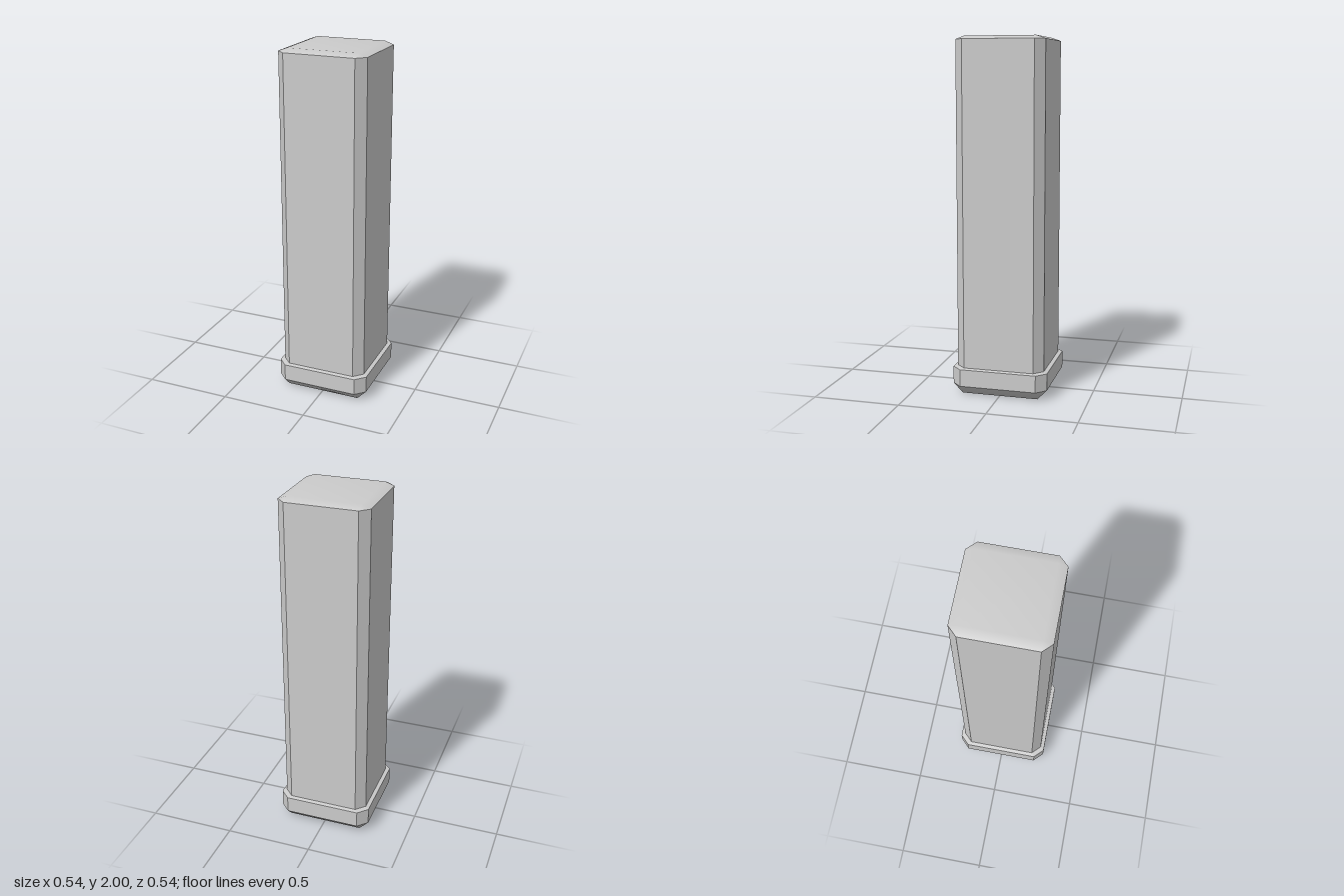
import * as THREE from 'three';
import { mergeVertices } from 'three/addons/utils/BufferGeometryUtils.js';

const material = new THREE.MeshStandardMaterial({ color: 0xcccccc });

// Square section of half-width h whose sides end at c, leaving cut corners (c = h: sharp square).
function ring([h, c, y]) {
  return [[h, c], [c, h], [-c, h], [-h, c], [-h, -c], [-c, -h], [c, -h], [h, -c]]
    .map(([x, z]) => new THREE.Vector3(x, y, z));
}

// Skin consecutive sections from bottom to top, skipping collapsed triangles.
function skin(name, sections, smooth) {
  const points = [];
  const rings = sections.map(ring);
  const tri = (a, b, c) => {
    if (new THREE.Triangle(a, b, c).getArea() > 1e-7) points.push(a, b, c);
  };
  for (let r = 0; r < rings.length - 1; r++) {
    const lo = rings[r], hi = rings[r + 1];
    for (let i = 0; i < 8; i++) {
      const j = (i + 1) % 8;
      tri(lo[i], hi[i], hi[j]);
      tri(lo[i], hi[j], lo[j]);
    }
  }
  let geometry = new THREE.BufferGeometry().setFromPoints(points);
  if (smooth) geometry = mergeVertices(geometry);
  geometry.computeVertexNormals();
  const mesh = new THREE.Mesh(geometry, material);
  mesh.name = name;
  return mesh;
}

export function createModel() {
  const model = new THREE.Group();
  model.name = 'post';

  // Foot: softly shaded bevelled underside, flat collar and a narrow ledge
  const foot = new THREE.Group();
  foot.name = 'foot';
  foot.add(
    skin('footUnderside', [[0, 0, 0], [0.218, 0.218, 0], [0.272, 0.218, 0.055]], true),
    skin('footCollar', [[0.272, 0.218, 0.055], [0.272, 0.218, 0.152]], false),
    skin('footLedge', [[0.272, 0.218, 0.152], [0.25, 0.2, 0.157]], false),
  );

  // Shaft: flat sides with cut corners under a softly bevelled top
  const shaft = new THREE.Group();
  shaft.name = 'shaft';
  shaft.add(
    skin('shaftSides', [[0.25, 0.2, 0.157], [0.25, 0.2, 1.982]], false),
    skin('shaftTop', [[0.25, 0.2, 1.982], [0.2, 0.2, 2], [0, 0, 2]], true),
  );

  model.add(foot, shaft);
  return model;
}
